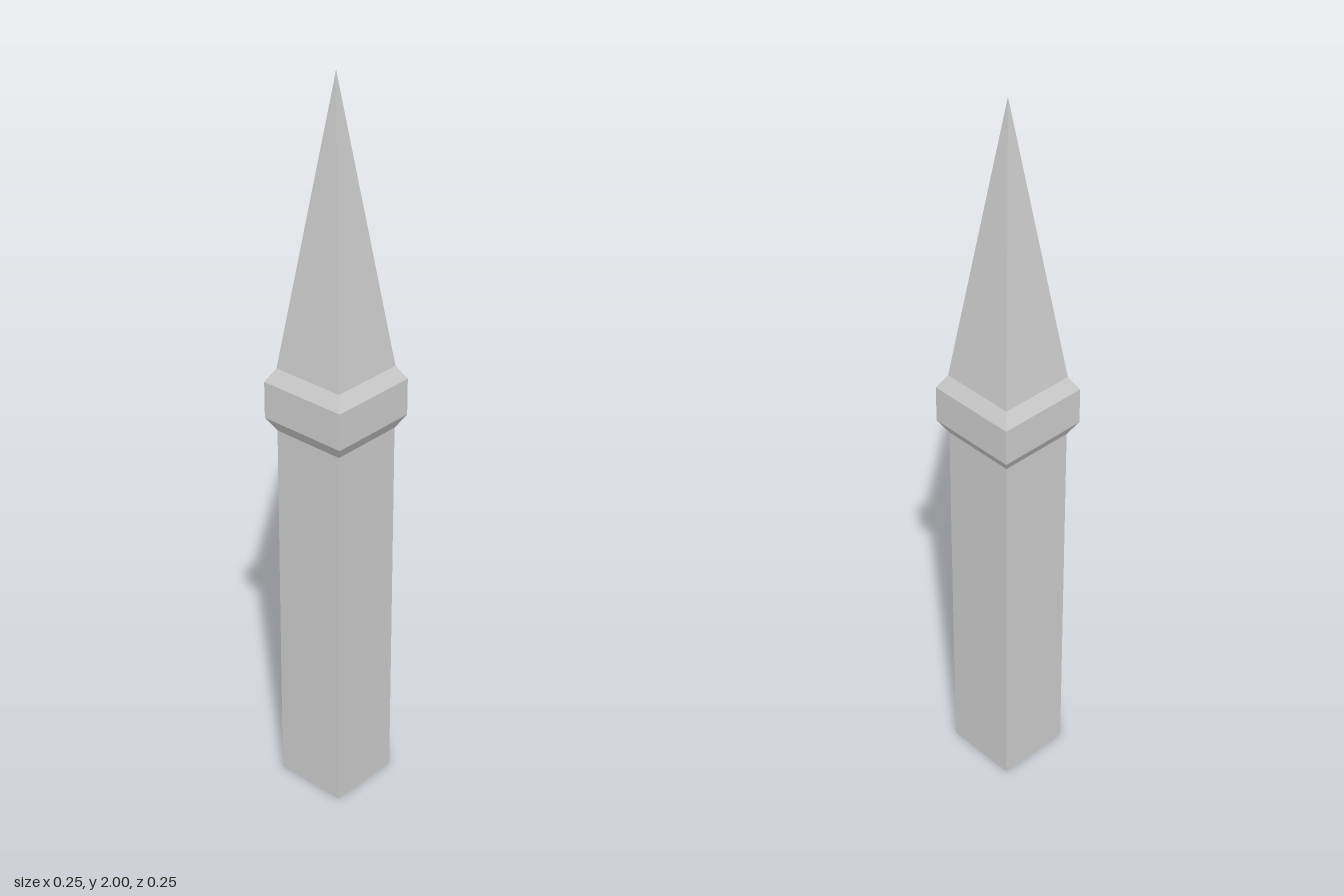
import * as THREE from 'three';

const material = new THREE.MeshStandardMaterial({ color: 0xcccccc, flatShading: true });

// Square frustum between two heights, given half-widths at bottom and top
function squareSection(name, y0, y1, half0, half1, openEnded = true) {
  const geometry = new THREE.CylinderGeometry(
    half1 * Math.SQRT2, half0 * Math.SQRT2, y1 - y0, 4, 1, openEnded);
  geometry.rotateY(Math.PI / 4);
  geometry.translate(0, (y0 + y1) / 2, 0);
  const mesh = new THREE.Mesh(geometry, material);
  mesh.name = name;
  return mesh;
}

export function createModel() {
  const model = new THREE.Group();
  model.name = 'spirePost';

  const shaftHalf = 0.104;
  const collarHalf = 0.126;

  // Post with a closed base
  model.add(squareSection('shaft', 0, 1.06, shaftHalf, shaftHalf, false));

  // Collar band with a chamfer below and above
  const collar = new THREE.Group();
  collar.name = 'collar';
  collar.add(
    squareSection('lowerChamfer', 1.06, 1.097, shaftHalf, collarHalf),
    squareSection('band', 1.097, 1.198, collarHalf, collarHalf),
    squareSection('upperChamfer', 1.198, 1.235, collarHalf, shaftHalf),
  );
  model.add(collar);

  // Pointed pyramid on top
  model.add(squareSection('spire', 1.235, 2, shaftHalf, 0));

  return model;
}
